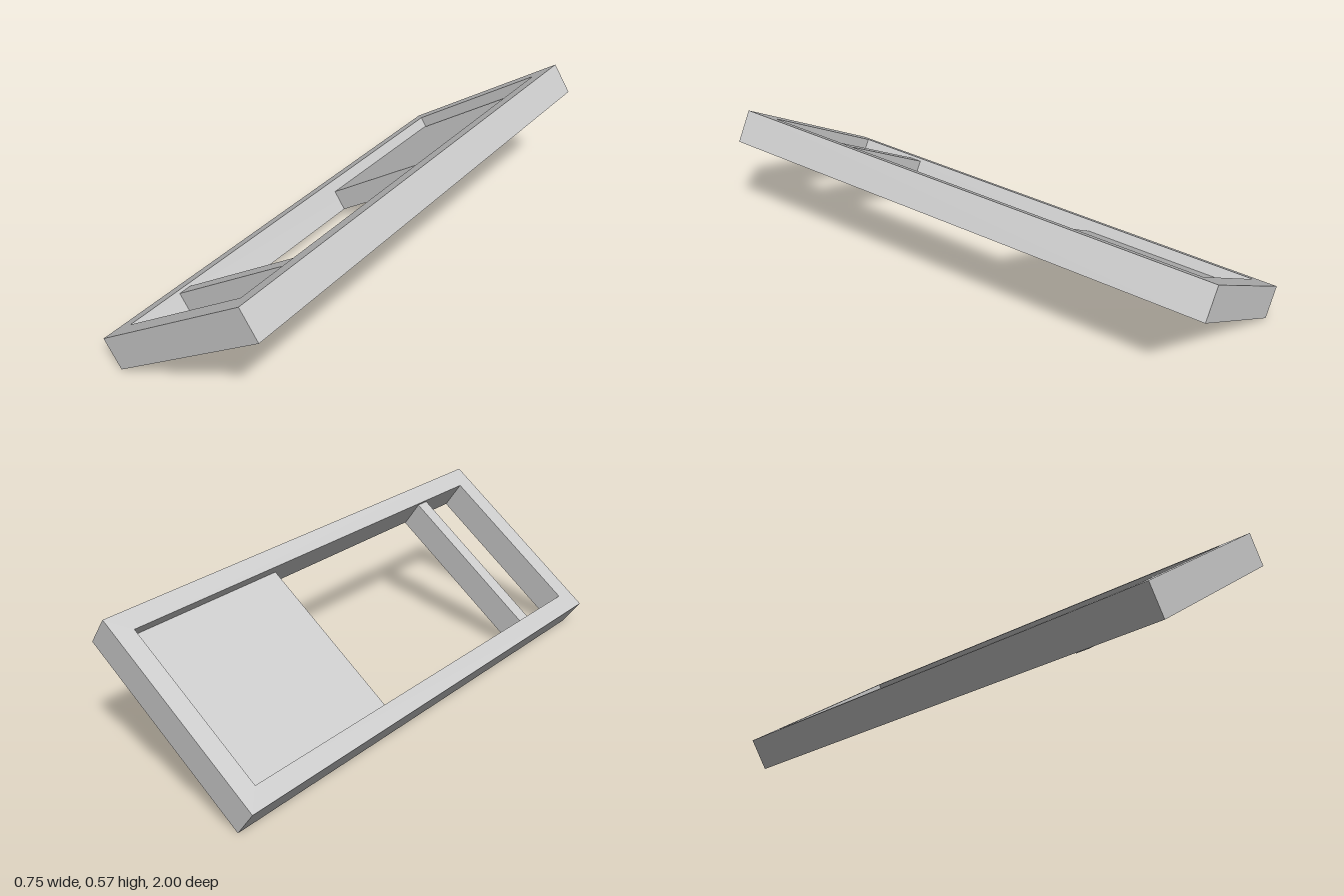
import * as THREE from 'three';

const W = 0.82, T = 0.129, L = 2, RAIL = 0.077, TILT = THREE.MathUtils.degToRad(34.9);

export function createModel() {
  const model = new THREE.Group();
  const material = new THREE.MeshStandardMaterial({ color: 0xcccccc, flatShading: true });

  // Everything is built flat (x = width, y = thickness, z = length), then tilted
  const tilted = new THREE.Group();
  tilted.name = 'tiltedAssembly';
  tilted.rotation.z = TILT;
  tilted.position.y = (W * Math.sin(TILT) + T * Math.cos(TILT)) / 2;
  model.add(tilted);

  const add = (name, geometry) => {
    const mesh = new THREE.Mesh(geometry, material);
    mesh.name = name;
    tilted.add(mesh);
  };
  // Box given by its lower and upper limits on each axis
  const box = (x0, x1, y0, y1, z0, z1) =>
    new THREE.BoxGeometry(x1 - x0, y1 - y0, z1 - z0)
      .translate((x0 + x1) / 2, (y0 + y1) / 2, (z0 + z1) / 2);
  const rectangle = (path, w, h) => path.setFromPoints([
    new THREE.Vector2(-w / 2, -h / 2), new THREE.Vector2(w / 2, -h / 2),
    new THREE.Vector2(w / 2, h / 2), new THREE.Vector2(-w / 2, h / 2),
  ]).closePath();

  // Rectangular outer frame
  const outline = rectangle(new THREE.Shape(), W, L);
  outline.holes.push(rectangle(new THREE.Path(), W - 2 * RAIL, L - 2 * RAIL));
  add('frame', new THREE.ExtrudeGeometry(outline, { depth: T, bevelEnabled: false })
    .translate(0, 0, -T / 2).rotateX(-Math.PI / 2));

  // Panel set into the back end, flush below and recessed above
  const inner = W / 2 - RAIL;
  add('panel', box(-inner, inner, -T / 2, T / 2 - 0.044, -0.912, -0.23));

  // Crossbar let into the rails, standing slightly proud underneath
  add('crossbar', box(-0.37, 0.37, -T / 2 - 0.005, T / 2 - 0.012, 0.628, 0.684));

  return model;
}
